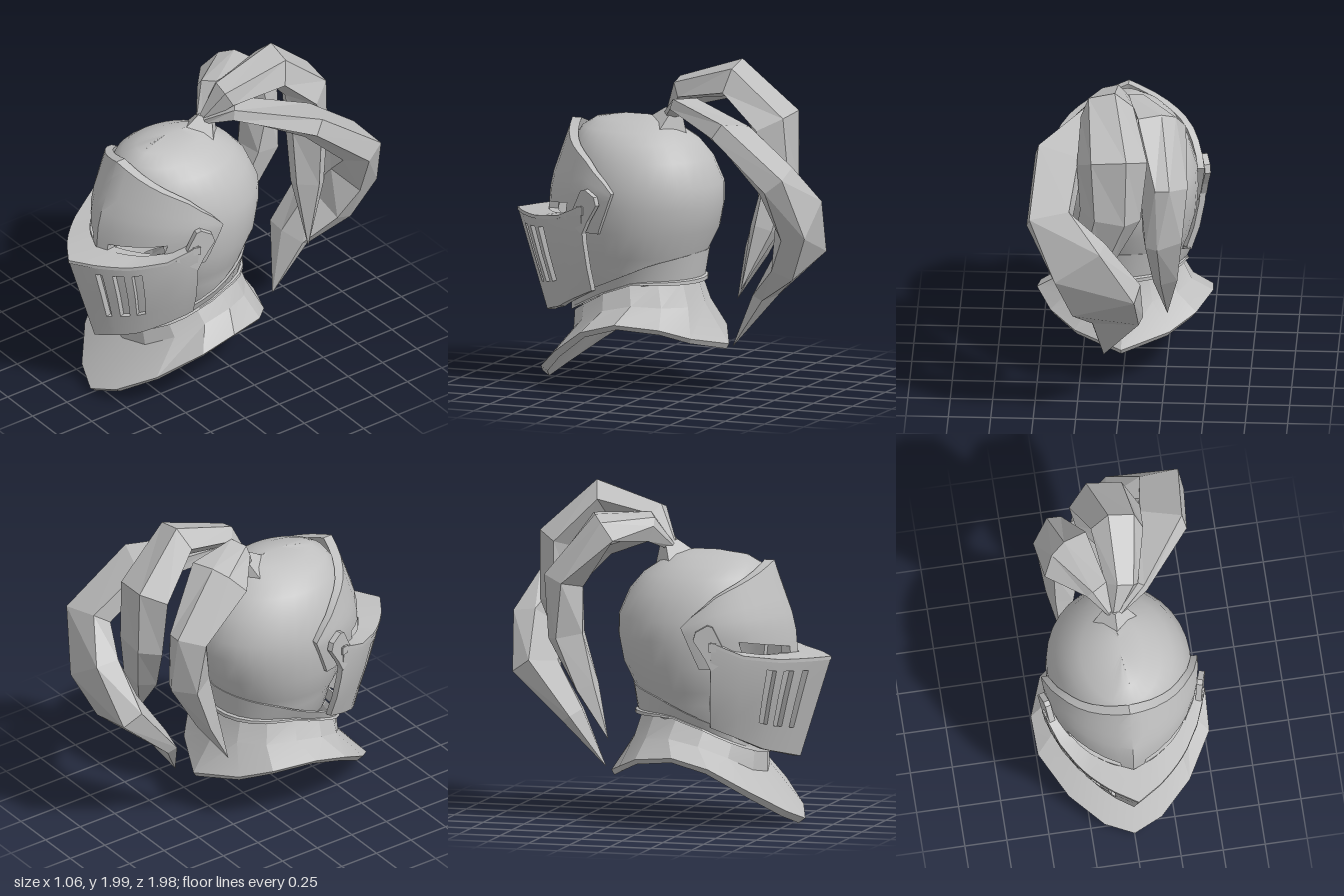
import * as THREE from 'three';
import { toCreasedNormals } from 'three/addons/utils/BufferGeometryUtils.js';

const V = (x, y, z) => new THREE.Vector3(x, y, z);
const steel = new THREE.MeshStandardMaterial({ color: 0xbfbfbf, side: THREE.DoubleSide });
steel.name = 'steel grey';

// piecewise linear lookup in [[key, value], ...] with rising keys
function at(table, k) {
  if (k <= table[0][0]) return table[0][1];
  for (let i = 1; i < table.length; i++) {
    const [k0, v0] = table[i - 1], [k1, v1] = table[i];
    if (k <= k1) return v0 + (v1 - v0) * (k - k0) / (k1 - k0);
  }
  return table[table.length - 1][1];
}

function meshFrom(name, pos, crease) {
  const g = new THREE.BufferGeometry();
  g.setAttribute('position', new THREE.Float32BufferAttribute(pos.flatMap(p => [p.x, p.y, p.z]), 3));
  const m = new THREE.Mesh(toCreasedNormals(g, crease), steel);
  m.name = name;
  return m;
}

// thick plate from a grid f(i, j, layer): layer 0 is outside, 1 inside; hole cells are left out
function plate(name, nu, nv, f, { hole = () => false, closed = false, crease = 0.6 } = {}) {
  const pos = [];
  const quad = (a, b, c, d) => pos.push(a, b, c, a, c, d);
  const solid = (i, j) => {
    if (closed) i = (i + nu) % nu;
    return i >= 0 && i < nu && j >= 0 && j < nv && !hole(i, j);
  };
  for (let i = 0; i < nu; i++) for (let j = 0; j < nv; j++) {
    if (!solid(i, j)) continue;
    const c = [[i, j], [i + 1, j], [i + 1, j + 1], [i, j + 1]];
    const o = c.map(([a, b]) => f(a, b, 0)), n = c.map(([a, b]) => f(a, b, 1));
    quad(...o);
    quad(n[3], n[2], n[1], n[0]);
    [[i, j - 1], [i + 1, j], [i, j + 1], [i - 1, j]].forEach(([a, b], k) => {
      const q = (k + 1) % 4;
      if (!solid(a, b)) quad(o[q], o[k], n[k], n[q]);
    });
  }
  return meshFrom(name, pos, crease);
}

// pointed half arch: b = 60 at the front ridge, 0 at the widest point; round blends towards an ellipse
function arch(b, sign, w, zc, zf, y, round = 0) {
  const r = b * Math.PI / 180, x = 2 * Math.cos(r) - 1;
  const s = (1 - round) * Math.sin(r) / 0.866 + round * Math.sqrt(Math.max(0, 1 - x * x));
  return V(sign * w * x, y, zc + (zf - zc) * s);
}
const mirrorCols = list => [
  ...list.map(b => [b, -1]), ...list.slice(0, -1).reverse().map(b => [b, 1])];
const angle = (i, n) => -Math.PI + 2 * Math.PI * i / n;

function skull() {
  // y, front z, back z, half width
  const rings = [[0.6, 0.52, -0.15, 0.33], [0.72, 0.56, -0.17, 0.345], [0.8, 0.6, -0.195, 0.38],
    [0.95, 0.64, -0.27, 0.42], [1.1, 0.66, -0.3, 0.43], [1.22, 0.66, -0.3, 0.425],
    [1.37, 0.63, -0.235, 0.375], [1.47, 0.6, -0.15, 0.31], [1.53, 0.56, -0.06, 0.235],
    [1.58, 0.48, 0.02, 0.13], [1.61, 0.3, 0.15, 0]];
  const n = 32;
  return plate('skullDome', n, rings.length - 1, (i, j, layer) => {
    const [y, zf, zb, w] = rings[j], a = angle(i, n), k = layer ? 0.95 : 1;
    const mid = (zf + zb) / 2;
    return V(w * k * Math.sin(a), y - layer * 0.02, mid + (zf - mid) * k * Math.cos(a));
  }, { closed: true, hole: (i, j) => j < 6 && Math.abs(angle(i + 0.5, n)) < 0.85 });
}

function browPlate() {
  const ts = [0, 0.08, 0.2, 0.3, 0.43, 0.54, 0.65, 0.78, 0.9, 1];
  const cols = mirrorCols(ts);
  const topEdge = [[0, 1.2], [0.08, 1.26], [0.33, 1.39], [0.72, 1.49], [1, 1.56]];
  const front = [[0.95, 0.79], [1.2, 0.77], [1.55, 0.64]];
  const width = [[0.95, 0.435], [1.1, 0.46], [1.2, 0.465], [1.4, 0.43], [1.55, 0.4]];
  const nv = 7;
  return plate('browPlate', cols.length - 1, nv, (i, j, layer) => {
    const [t, s] = cols[i];
    const slitTop = 1.05 + 0.11 * (1 - t);
    const y = j === 0 ? 0.95 : j === 1 ? 1.02 : slitTop + (at(topEdge, t) - slitTop) * (j - 2) / (nv - 2);
    const b = t * 60 + (1 - t) * 8 * Math.max(0, (1.2 - y) / 0.25);
    return arch(b, s, at(width, y) - layer * 0.04, 0.2, at(front, y) - layer * 0.06, y, 0.35);
  }, { // eye slits
    hole: (i, j) => {
      const t = (cols[i][0] + cols[i + 1][0]) / 2;
      return j === 1 && t > 0.43 && t < 0.9;
    } });
}

const visorCols = mirrorCols([12, 16, 24, 33.4, 37.2, 40.2, 44.4, 48.3, 50.8, 60]);
const visorTop = [[12, 1.12], [18, 1.08], [24, 1.04], [38, 1.01], [60, 1]];
const visorBottom = [[12, 0.6], [38, 0.46], [60, 0.4]];
function visorPoint(i, v, layer) {
  const [b, s] = visorCols[i];
  const y0 = at(visorBottom, b), y = y0 + (at(visorTop, b) - y0) * v;
  const w = at([[0.4, 0.35], [0.6, 0.4], [0.7, 0.44], [0.85, 0.475], [1, 0.495], [1.2, 0.5]], y);
  const zf = at([[0.4, 0.8], [1, 0.99]], y);
  return arch(b, s, w - layer * 0.03, 0.2, zf - layer * 0.04, y);
}

function visor() {
  const g = new THREE.Group();
  g.name = 'visor';
  const rows = [0, 0.27, 0.57, 0.87, 1], n = visorCols.length - 1;
  g.add(plate('facePlate', n, 4, (i, j, l) => visorPoint(i, rows[j], l), {
    hole: (i, j) => { // three breathing slots on each side
      const c = Math.min(i, n - 1 - i);
      return (c === 3 || c === 5 || c === 7) && (j === 1 || j === 2);
    } }));
  // backing that closes the slots
  g.add(plate('slotBacking', n, 4, (i, j, l) => visorPoint(i, rows[j], 1 + 0.2 * l)));
  // ledge closing the gap between face plate and brow
  g.add(plate('visorLedge', n, 1, (i, j, l) => {
    const [b, s] = visorCols[i], p = visorPoint(i, 1, 0);
    const q = j ? arch(b, s, 0.44, 0.2, 0.79, p.y + 0.02, 0.35) : p;
    return V(q.x, q.y - 0.02 * l, q.z);
  }));
  // pivot arms and rivets; the shape is drawn in (z, y) and turned to face sideways
  const outline = [[0.52, 1.04], [0.45, 1.09], [0.39, 1.21], [0.36, 1.22], [0.29, 1.18], [0.275, 1.13], [0.34, 1.03], [0.38, 0.95]];
  const shape = new THREE.Shape(outline.map(([z, y]) => new THREE.Vector2(0.39 - z, y)));
  for (const s of [-1, 1]) {
    const side = new THREE.Group();
    side.name = 'visorPivot';
    side.position.set(s * 0.445, 0, 0.39);
    side.rotation.y = -s * 0.28;
    const arm = new THREE.Mesh(new THREE.ExtrudeGeometry(shape, { depth: 0.035, bevelEnabled: false }), steel);
    arm.name = 'pivotArm';
    arm.rotation.y = Math.PI / 2;
    arm.position.x = s > 0 ? -0.012 : -0.023;
    const rivet = new THREE.Mesh(new THREE.BoxGeometry(0.02, 0.05, 0.045), steel);
    rivet.name = 'rivet';
    rivet.position.set(s * 0.024, 1.09, 0);
    side.add(arm, rivet);
    g.add(side);
  }
  return g;
}

function neckBand() {
  const top = [[-0.2, 0.82], [0, 0.77], [0.35, 0.62], [0.64, 0.5]];
  const bottom = [[-0.2, 0.635], [0.1, 0.65], [0.3, 0.58], [0.64, 0.41]];
  const levels = [[0, 0.375, -0.2], [0.12, 0.37, -0.2], [0.16, 0.36, -0.185], [1, 0.385, -0.21]];
  const n = 28;
  return plate('neckBand', n, 3, (i, j, l) => {
    const [v, w, zb] = levels[j], a = angle(i, n), mid = (0.62 + zb) / 2;
    const z = mid + (0.62 - mid - l * 0.02) * Math.cos(a);
    return V((w - l * 0.02) * Math.sin(a), at(bottom, z) * (1 - v) + at(top, z) * v, z);
  }, { closed: true });
}

function collar() {
  const g = new THREE.Group();
  g.name = 'collar';
  // lower edge of one side, front to back
  const hem = [[0, 0.03, 0.83], [0.17, 0.09, 0.77], [0.36, 0.215, 0.61], [0.51, 0.37, 0.38],
    [0.52, 0.43, 0.16], [0.43, 0.4, -0.09], [0.28, 0.335, -0.23], [0, 0.27, -0.36]];
  const levels = [null, // half width, front z, back z, height along z
    [0.405, 0.6, -0.21, [[-0.2, 0.5], [0.15, 0.53], [0.4, 0.45], [0.6, 0.3]]],
    [0.345, 0.6, -0.16, [[-0.16, 0.66], [0.1, 0.65], [0.3, 0.58], [0.6, 0.42]]]];
  const n = 14;
  const point = (i, j, l) => {
    const k = Math.abs(i - 7), s = Math.sign(i - 7), inset = 1 - 0.05 * l;
    if (j === 0) return V(s * hem[k][0] * inset, hem[k][1] - l * 0.03, hem[k][2] * inset);
    const [w, zf, zb, ys] = levels[j], a = k * Math.PI / 7, mid = (zf + zb) / 2;
    const z = mid + (zf - mid) * Math.cos(a);
    return V(s * w * inset * Math.sin(a), at(ys, z) - l * 0.03, mid + (z - mid) * inset);
  };
  g.add(plate('collarPlate', n, 2, point, { closed: true, crease: 0.3 }));
  // vault that closes the inside of the collar
  g.add(plate('collarLining', n, 1, (i, j, l) =>
    j ? V(0, 0.56 - l * 0.01, 0.2) : point(i, 1, 1).add(V(0, -0.01 * l, 0)), { closed: true }));
  return g;
}

// feather strand: faceted sections [x, y, z, half width, half thickness] with a flat back
// of the given share of the width and a keel below, ending in a point
function feather(name, across, flat, stations) {
  const c = stations.map(s => V(s[0], s[1], s[2]));
  const section = [[1, 0], [flat, 1], [-flat, 1], [-1, 0], [0, -0.7]], n = section.length;
  const rings = stations.map(([, , , w, t], k) => {
    const dir = c[Math.min(k + 1, c.length - 1)].clone().sub(c[Math.max(k - 1, 0)]).normalize();
    const side = across.clone().addScaledVector(dir, -across.dot(dir)).normalize();
    const up = side.clone().cross(dir).normalize();
    return section.map(([a, b]) =>
      c[k].clone().addScaledVector(side, a * w).addScaledVector(up, b * t));
  });
  const pos = [];
  for (let k = 0; k + 1 < rings.length; k++) for (let e = 0; e < n; e++) {
    const f = (e + 1) % n, p = rings[k], q = rings[k + 1];
    pos.push(p[e], p[f], q[f], p[e], q[f], q[e]);
  }
  // cap at the root
  for (let e = 1; e + 1 < n; e++) pos.push(rings[0][0], rings[0][e + 1], rings[0][e]);
  return meshFrom(name, pos, 0.01);
}

function plume() {
  const g = new THREE.Group();
  g.name = 'plume';
  const socket = new THREE.Mesh(new THREE.CylinderGeometry(0.06, 0.13, 0.1, 4), steel);
  socket.geometry = toCreasedNormals(socket.geometry, 0.1);
  socket.name = 'plumeSocket';
  socket.position.set(0, 1.59, 0.01);
  socket.rotation.x = -0.4;
  g.add(socket,
    feather('middleFeather', V(1, -0.25, 0), 0.5, [[0, 1.62, 0.01, 0.03, 0.03], [0.06, 1.78, -0.1, 0.1, 0.08],
      [0.08, 1.85, -0.42, 0.16, 0.13], [0.04, 1.62, -0.65, 0.21, 0.14], [0.05, 1.3, -0.68, 0.18, 0.11],
      [0.15, 1, -0.62, 0.13, 0.09], [0.28, 0.65, -0.55, 0, 0]]),
    feather('rightFeather', V(1, 0.9, 0.3), 0.3, [[-0.02, 1.62, 0.01, 0.03, 0.03], [-0.09, 1.74, -0.1, 0.1, 0.07],
      [-0.24, 1.75, -0.34, 0.18, 0.07], [-0.26, 1.42, -0.55, 0.14, 0.14], [-0.25, 1.1, -0.54, 0.13, 0.14],
      [-0.26, 0.8, -0.43, 0.09, 0.08], [-0.27, 0.49, -0.3, 0, 0]]),
    feather('leftFeather', V(1, 0, 0), 0.85, [[0.02, 1.62, 0.01, 0.03, 0.03], [0.12, 1.68, -0.12, 0.1, 0.06],
      [0.36, 1.56, -0.5, 0.15, 0.1], [0.4, 1.31, -0.79, 0.14, 0.13], [0.23, 1.09, -0.85, 0.19, 0.14],
      [0.08, 0.85, -0.79, 0.23, 0.13], [0.02, 0.6, -0.58, 0.16, 0.06], [0.1, 0.27, -0.42, 0, 0]]));
  return g;
}

export function createModel() {
  const helmet = new THREE.Group();
  helmet.name = 'helmet';
  helmet.add(skull(), browPlate(), visor(), neckBand(), collar(), plume());
  return helmet;
}
